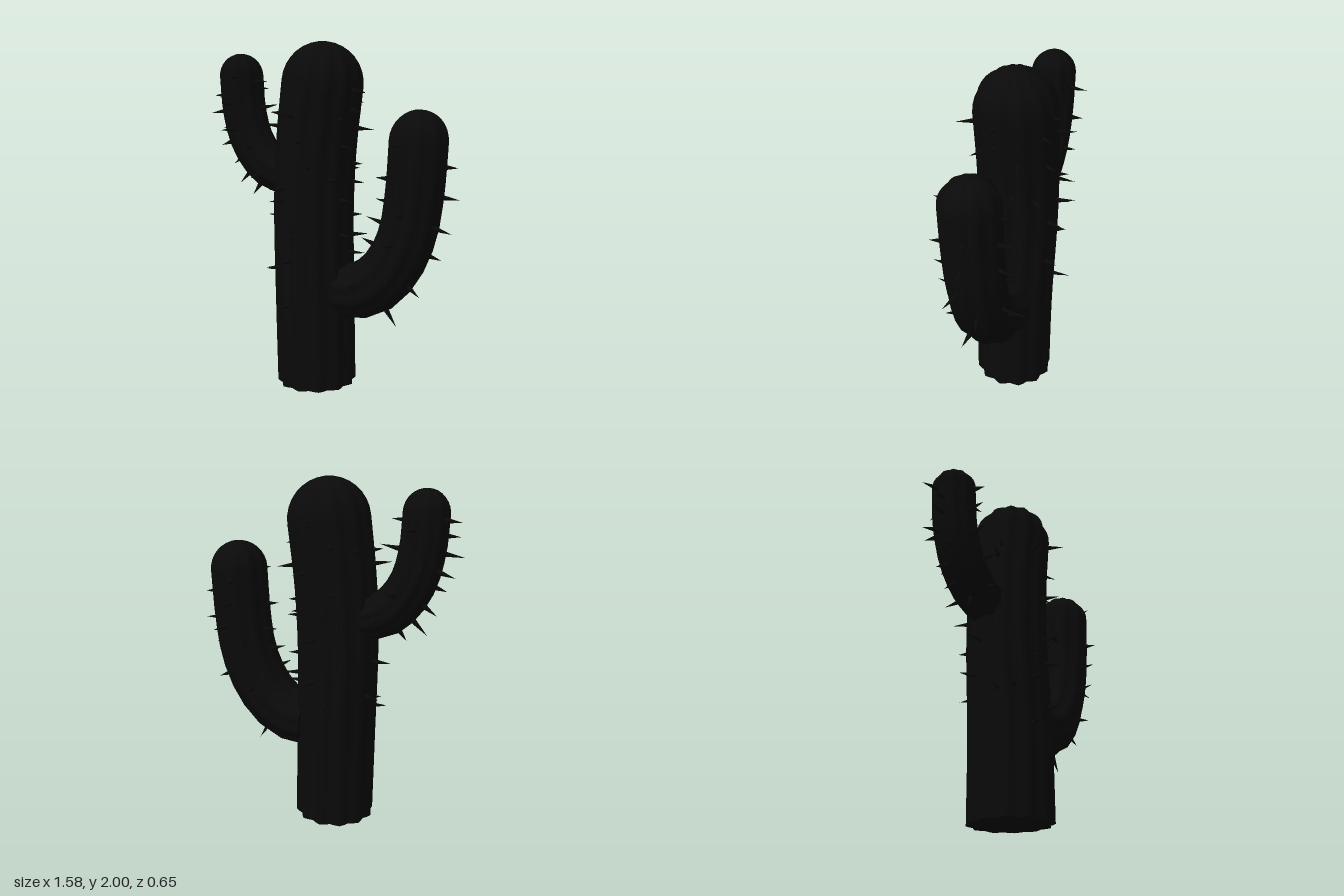
import * as THREE from 'three';
import { mergeGeometries } from 'three/addons/utils/BufferGeometryUtils.js';

const skin = new THREE.MeshStandardMaterial({ color: 0x0a0a0a });
const UP = new THREE.Vector3(0, 1, 0);
const B = new THREE.Vector3(0, 0, 1);

// Direction away from a path: angle 0 lies in the xy plane, 90 degrees faces the front
function outward(tangent, angle) {
  const n = new THREE.Vector3().crossVectors(tangent, B).normalize();
  return n.multiplyScalar(Math.cos(angle)).addScaledVector(B, Math.sin(angle));
}

// Ribbed tube along a path with a domed tip and a flat closed start
function limbGeometry(curve, radius, ribs, steps) {
  const sides = ribs * 4, domeSteps = 8, pos = [], index = [];
  const ring = (c, t, r) => {
    for (let j = 0; j < sides; j++) {
      const a = (j / sides) * Math.PI * 2;
      const p = c.clone().addScaledVector(outward(t, a), r * (0.95 + 0.05 * Math.cos(a * ribs)));
      pos.push(p.x, p.y, p.z);
    }
  };
  for (let i = 0; i <= steps; i++) ring(curve.getPointAt(i / steps), curve.getTangentAt(i / steps), radius);
  const end = curve.getPointAt(1), dir = curve.getTangentAt(1);
  for (let i = 1; i < domeSteps; i++) {
    const a = (i / domeSteps) * Math.PI / 2;
    ring(end.clone().addScaledVector(dir, radius * Math.sin(a)), dir, radius * Math.cos(a));
  }
  const rings = steps + domeSteps;
  for (let i = 0; i < rings - 1; i++) {
    for (let j = 0; j < sides; j++) {
      const k = (j + 1) % sides, a = i * sides, b = a + sides;
      index.push(a + j, b + j, a + k, a + k, b + j, b + k);
    }
  }
  // tip of the dome
  const tip = end.clone().addScaledVector(dir, radius);
  const last = (rings - 1) * sides, tipId = pos.length / 3;
  pos.push(tip.x, tip.y, tip.z);
  for (let j = 0; j < sides; j++) index.push(last + j, tipId, last + (j + 1) % sides);
  // flat start, on its own vertices so that the rim stays sharp
  const start = curve.getPointAt(0), capId = pos.length / 3;
  pos.push(...pos.slice(0, sides * 3), start.x, start.y, start.z);
  for (let j = 0; j < sides; j++) index.push(capId + sides, capId + j, capId + (j + 1) % sides);

  const g = new THREE.BufferGeometry();
  g.setAttribute('position', new THREE.Float32BufferAttribute(pos, 3));
  g.setIndex(index);
  g.computeVertexNormals();
  return g;
}

// Rows of thin cones; each row is [degrees, count, from, to] along the path
function spineGeometry(curve, radius, rows, spread) {
  const cones = [];
  for (const [degrees, count, from, to] of rows) {
    for (let i = 0; i < count; i++) {
      const u = from + (to - from) * i / (count - 1);
      const sway = Math.sin(i * 2.4 + degrees);
      const out = outward(curve.getTangentAt(u), THREE.MathUtils.degToRad(degrees + spread * sway));
      const length = 0.1 + 0.025 * Math.cos(i * 1.9 + degrees);
      const base = curve.getPointAt(u).addScaledVector(out, radius * 0.88);
      const cone = new THREE.ConeGeometry(0.017, length, 6).translate(0, length / 2, 0);
      cone.applyQuaternion(new THREE.Quaternion().setFromUnitVectors(UP, out));
      cones.push(cone.translate(base.x, base.y, base.z));
    }
  }
  return mergeGeometries(cones);
}

const limbs = [
  {
    name: 'trunk', radius: 0.235, ribs: 12, steps: 14, spread: 25,
    path: [[-0.065, 0, 0], [-0.075, 0.5, 0], [-0.09, 1.05, -0.015], [-0.075, 1.42, -0.02], [-0.035, 1.765, -0.02]],
    rows: [[0, 10, 0.45, 0.99], [180, 4, 0.39, 0.89], [90, 10, 0.28, 0.97], [270, 9, 0.42, 0.99],
      [45, 3, 0.5, 0.9], [135, 3, 0.4, 0.85], [225, 3, 0.45, 0.9], [315, 3, 0.5, 0.95]],
  },
  {
    name: 'leftArm', radius: 0.168, ribs: 10, steps: 10, spread: 18,
    path: [[0.1, 0.575, -0.01], [0.22, 0.585, -0.01], [0.33, 0.65, -0.01], [0.43, 0.78, -0.015],
      [0.5, 0.96, -0.02], [0.535, 1.2, -0.02], [0.55, 1.455, -0.02]],
    rows: [[0, 6, 0.18, 0.88], [180, 4, 0.4, 0.8], [90, 6, 0.15, 0.98], [270, 6, 0.35, 0.95]],
  },
  {
    name: 'rightArm', radius: 0.13, ribs: 10, steps: 10, spread: 18,
    path: [[-0.24, 1.23, -0.03], [-0.36, 1.255, -0.03], [-0.45, 1.325, -0.03], [-0.53, 1.45, -0.03],
      [-0.575, 1.62, -0.03], [-0.59, 1.815, -0.03]],
    rows: [[180, 8, 0.2, 0.97], [0, 2, 0.72, 0.94], [90, 5, 0.2, 0.98], [270, 4, 0.15, 0.9]],
  },
];

export function createModel() {
  const model = new THREE.Group();
  model.name = 'cactus';
  for (const { name, radius, ribs, steps, spread, path, rows } of limbs) {
    const curve = new THREE.CatmullRomCurve3(path.map((p) => new THREE.Vector3(...p)));
    const body = new THREE.Mesh(limbGeometry(curve, radius, ribs, steps), skin);
    body.name = name;
    const spines = new THREE.Mesh(spineGeometry(curve, radius, rows, spread), skin);
    spines.name = name + 'Spines';
    model.add(body, spines);
  }
  return model;
}
